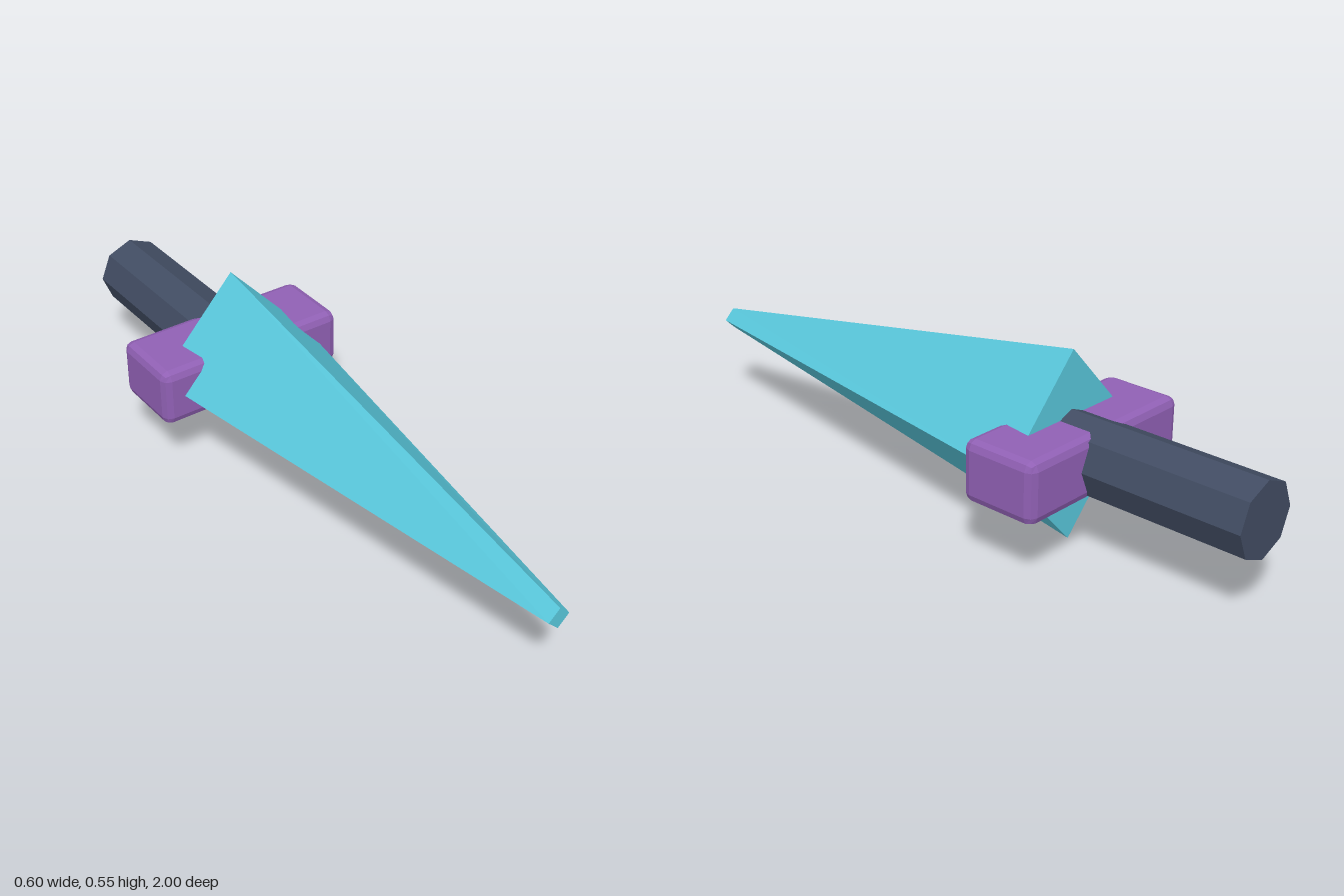
import * as THREE from 'three';
import { RoundedBoxGeometry } from 'three/addons/geometries/RoundedBoxGeometry.js';

const CENTER_Y = 0.274;

function material(name, color) {
  const m = new THREE.MeshStandardMaterial({ color, flatShading: true });
  m.name = name;
  return m;
}

// Prism along z from z0 (back) to z1 (front)
function prism(backRadius, frontRadius, z0, z1, sides) {
  const g = new THREE.CylinderGeometry(frontRadius, backRadius, z1 - z0, sides);
  g.rotateX(Math.PI / 2);
  g.translate(0, 0, (z0 + z1) / 2);
  return g;
}

export function createModel() {
  const group = new THREE.Group();
  group.name = 'dagger';

  const add = (name, geometry, mat) => {
    const mesh = new THREE.Mesh(geometry, mat);
    mesh.name = name;
    mesh.position.y = CENTER_Y;
    group.add(mesh);
  };

  // Diamond-section blade, tapering to a small blunt tip
  const blade = prism(1, 1, -0.4, 1, 4);
  const p = blade.attributes.position;
  for (let i = 0; i < p.count; i++) {
    const tip = p.getZ(i) > 0;
    p.setX(i, p.getX(i) * (tip ? 0.033 : 0.253));
    p.setY(i, p.getY(i) * (tip ? 0.032 : 0.274));
  }
  add('blade', blade, material('blade teal', 0x58c6da));

  // Bevelled crossguard running through the blade's base
  const guard = new RoundedBoxGeometry(0.6, 0.175, 0.234, 1, 0.025);
  guard.translate(0, 0, -0.407);
  add('guard', guard, material('guard purple', 0x9060b4));

  // Octagonal handle
  add('handle', prism(0.107, 0.107, -1, -0.39, 8), material('handle slate', 0x414c62));

  return group;
}
